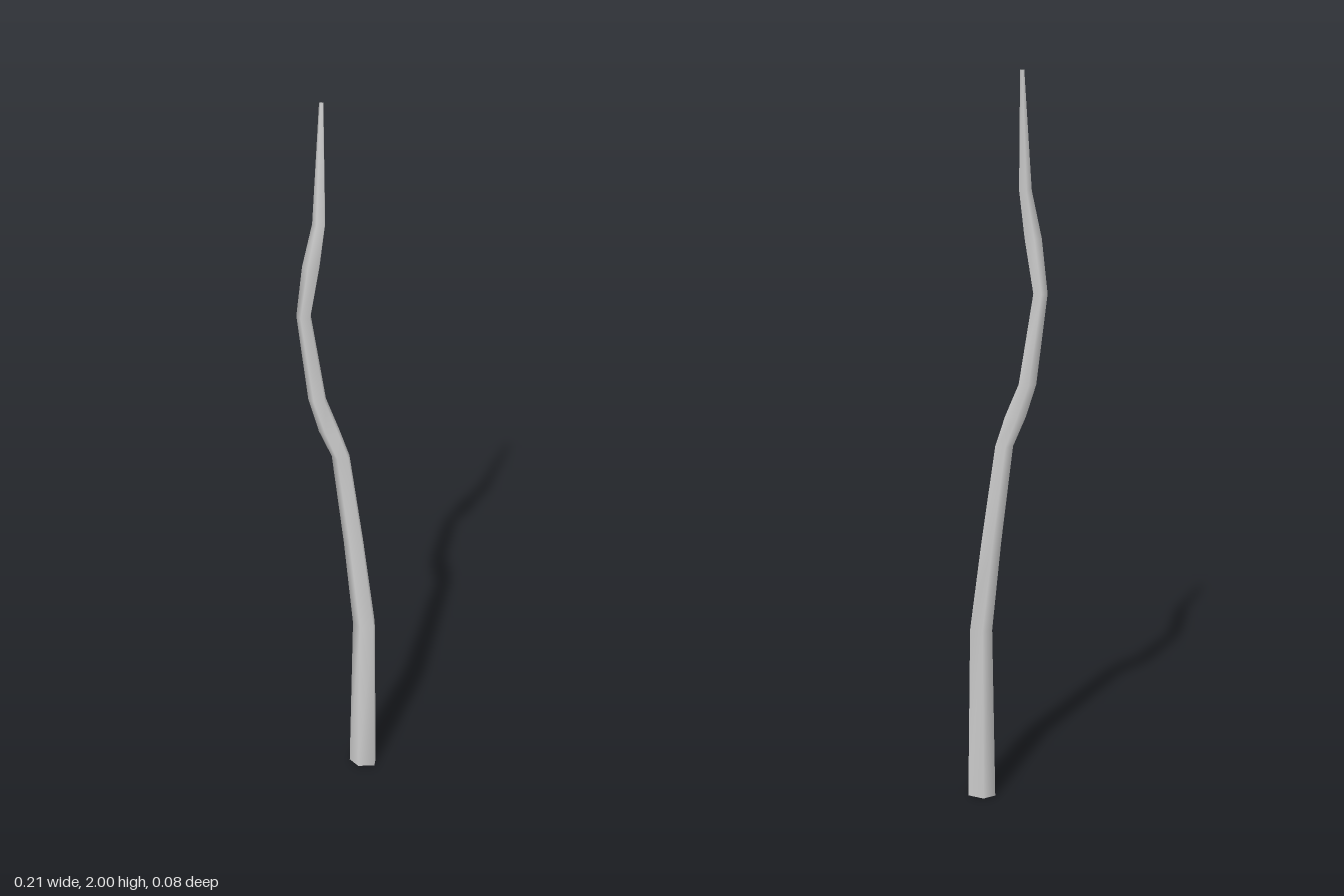
import * as THREE from 'three';

// Cross-sections from base to tip: height, x min, x max, z min, z max
const RINGS = [
  [0.00, 0.033, 0.106, -0.010, 0.037],
  [0.50, 0.040, 0.098, -0.009, 0.031],
  [0.76, 0.012, 0.063, -0.020, 0.013],
  [1.03, -0.020, 0.025, -0.021, 0.010],
  [1.11, -0.052, 0.001, -0.012, 0.018],
  [1.20, -0.080, -0.036, -0.020, 0.010],
  [1.44, -0.108, -0.073, -0.019, 0.008],
  [1.58, -0.092, -0.050, -0.018, 0.010],
  [1.70, -0.066, -0.035, -0.012, 0.005],
  [2.00, -0.053, -0.043, -0.040, -0.033],
];
const SIDES = 5;

// Five-sided tube skinned through the rings, open at the base
function stemGeometry() {
  const positions = [], indices = [];
  for (const [y, x0, x1, z0, z1] of RINGS) {
    const rx = (x1 - x0) / 1.81, rz = (z1 - z0) / 1.902;
    for (let i = 0; i < SIDES; i++) {
      const a = Math.PI + (i / SIDES) * Math.PI * 2;
      positions.push(x0 + rx + rx * Math.cos(a), y, (z0 + z1) / 2 + rz * Math.sin(a));
    }
  }
  for (let r = 0; r < RINGS.length - 1; r++) {
    for (let i = 0; i < SIDES; i++) {
      const a = r * SIDES + i, b = r * SIDES + (i + 1) % SIDES;
      indices.push(a, a + SIDES, b, b, a + SIDES, b + SIDES);
    }
  }
  // Small cap on the tip
  const tip = (RINGS.length - 1) * SIDES;
  for (let i = 1; i < SIDES - 1; i++) indices.push(tip, tip + i + 1, tip + i);

  const geometry = new THREE.BufferGeometry();
  geometry.setAttribute('position', new THREE.Float32BufferAttribute(positions, 3));
  geometry.setIndex(indices);
  geometry.computeVertexNormals();
  return geometry;
}

export function createModel() {
  const group = new THREE.Group();
  group.name = 'crookedStick';
  const material = new THREE.MeshStandardMaterial({ color: 0xcccccc, side: THREE.DoubleSide });
  const stem = new THREE.Mesh(stemGeometry(), material);
  stem.name = 'stem';
  group.add(stem);
  return group;
}
